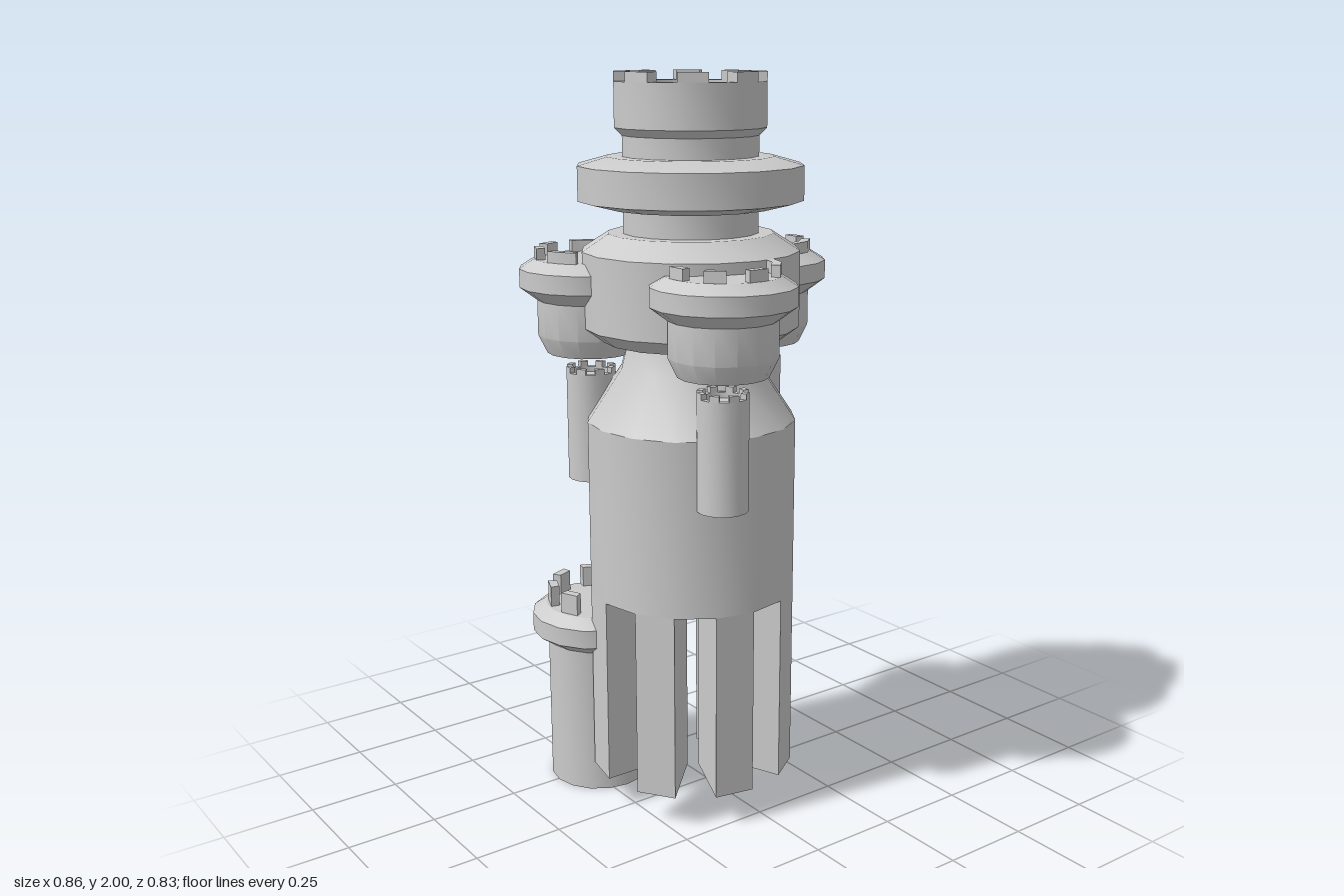
import * as THREE from 'three';
import { toCreasedNormals } from 'three/addons/utils/BufferGeometryUtils.js';

const SIDES = 16;
const STEP = 360 / SIDES;
const material = new THREE.MeshStandardMaterial({ color: 0xcccccc });

function addMesh(parent, name, geometry) {
  const mesh = new THREE.Mesh(toCreasedNormals(geometry, 0.5), material);
  mesh.name = name;
  parent.add(mesh);
  return mesh;
}

// Solid of revolution from [radius, height] pairs, bottom to top
function turned(parent, name, profile) {
  const points = profile.map(([r, y]) => new THREE.Vector2(r, y));
  return addMesh(parent, name, new THREE.LatheGeometry(points, SIDES));
}

// Block filling a ring sector; degrees run from +x towards +z
function sector(parent, name, r0, r1, a0, a1, y0, y1) {
  const n = Math.max(1, Math.round((a1 - a0) / STEP));
  const points = [];
  const put = (r, deg) => {
    const a = THREE.MathUtils.degToRad(deg);
    points.push(new THREE.Vector2(r * Math.cos(a), r * Math.sin(a)));
  };
  for (let i = 0; i <= n; i++) put(r1, a0 + (a1 - a0) * i / n);
  for (let i = n; i >= 0; i--) put(r0, a0 + (a1 - a0) * i / n);
  const geometry = new THREE.ExtrudeGeometry(new THREE.Shape(points), { depth: y1 - y0, bevelEnabled: false });
  geometry.rotateX(Math.PI / 2).translate(0, y1, 0);
  return addMesh(parent, name, geometry);
}

// Evenly spaced blocks around a ring
function crown(parent, name, r0, r1, start, y0, y1) {
  for (let k = 0; k < 8; k++) sector(parent, name, r0, r1, start + 45 * k, start + 45 * k + STEP, y0, y1);
}

function groupAt(parent, name, x, z) {
  const group = new THREE.Group();
  group.name = name;
  group.position.set(x, 0, z);
  parent.add(group);
  return group;
}

export function createModel() {
  const model = new THREE.Group();
  model.name = 'tower';

  // Main tower: body, hub, wide collar and crowned top
  const core = groupAt(model, 'mainTower', -0.017, 0.04);
  turned(core, 'towerBody', [
    [0, 0.61], [0.284, 0.61], [0.284, 1.09], [0.19, 1.23], [0.17, 1.307],
    [0.24, 1.307], [0.29, 1.345], [0.29, 1.545], [0.22, 1.59], [0.18, 1.59],
    [0.18, 1.655], [0.22, 1.655], [0.298, 1.675], [0.298, 1.765], [0.22, 1.787],
    [0.18, 1.787], [0.18, 1.84], [0.2, 1.86], [0.2, 1.975], [0.157, 1.975],
    [0.157, 1.93], [0, 1.93]
  ]);
  crown(core, 'topMerlon', 0.157, 0.2, STEP, 1.975, 2);

  // Radial fins carrying the body
  crown(core, 'baseFin', 0.08, 0.284, 0, 0.09, 0.61);

  // Three side turrets, each above a small hanging cylinder
  const turrets = [
    { name: 'leftTurret', x: 0.242, z: 0.127, arcs: [[-11, 11], [34, 56], [-84, -36], [79, 101], [124, 191]] },
    { name: 'backTurret', x: -0.075, z: -0.231, arcs: [[214, 236], [259, 281], [303, 356], [165, 191], [34, 101]] },
    { name: 'rightTurret', x: -0.224, z: 0.227, arcs: [[102, 124], [146, 168], [190, 237], [45, 80], [282, 349]] }
  ];
  for (const { name, x, z, arcs } of turrets) {
    const turret = groupAt(model, name, x, z);
    turned(turret, 'turretBowl', [
      [0, 1.26], [0.118, 1.26], [0.142, 1.31], [0.142, 1.405], [0.188, 1.44],
      [0.188, 1.49], [0.148, 1.515], [0, 1.515]
    ]);
    for (const [a0, a1] of arcs) sector(turret, 'turretMerlon', 0.122, 0.146, a0, a1, 1.505, 1.545);
    turned(turret, 'hangingCylinder', [
      [0, 0.905], [0.068, 0.905], [0.068, 1.205], [0.052, 1.205], [0.052, 1.19], [0, 1.19]
    ]);
    crown(turret, 'cylinderMerlon', 0.052, 0.068, 0, 1.205, 1.22);
  }

  // Low pod beside the base
  const pod = groupAt(model, 'lowPod', -0.246, 0.208);
  turned(pod, 'podBody', [
    [0, 0], [0.143, 0], [0.143, 0.42], [0.186, 0.45], [0.186, 0.502], [0.148, 0.527], [0, 0.527]
  ]);
  crown(pod, 'podMerlon', 0.115, 0.14, 11, 0.52, 0.585);

  // Narrow cylinder behind the pod
  const side = groupAt(model, 'podSideCylinder', -0.355, 0.13);
  turned(side, 'sideCylinder', [[0, 0.015], [0.075, 0.015], [0.075, 0.39], [0, 0.39]]);

  return model;
}
